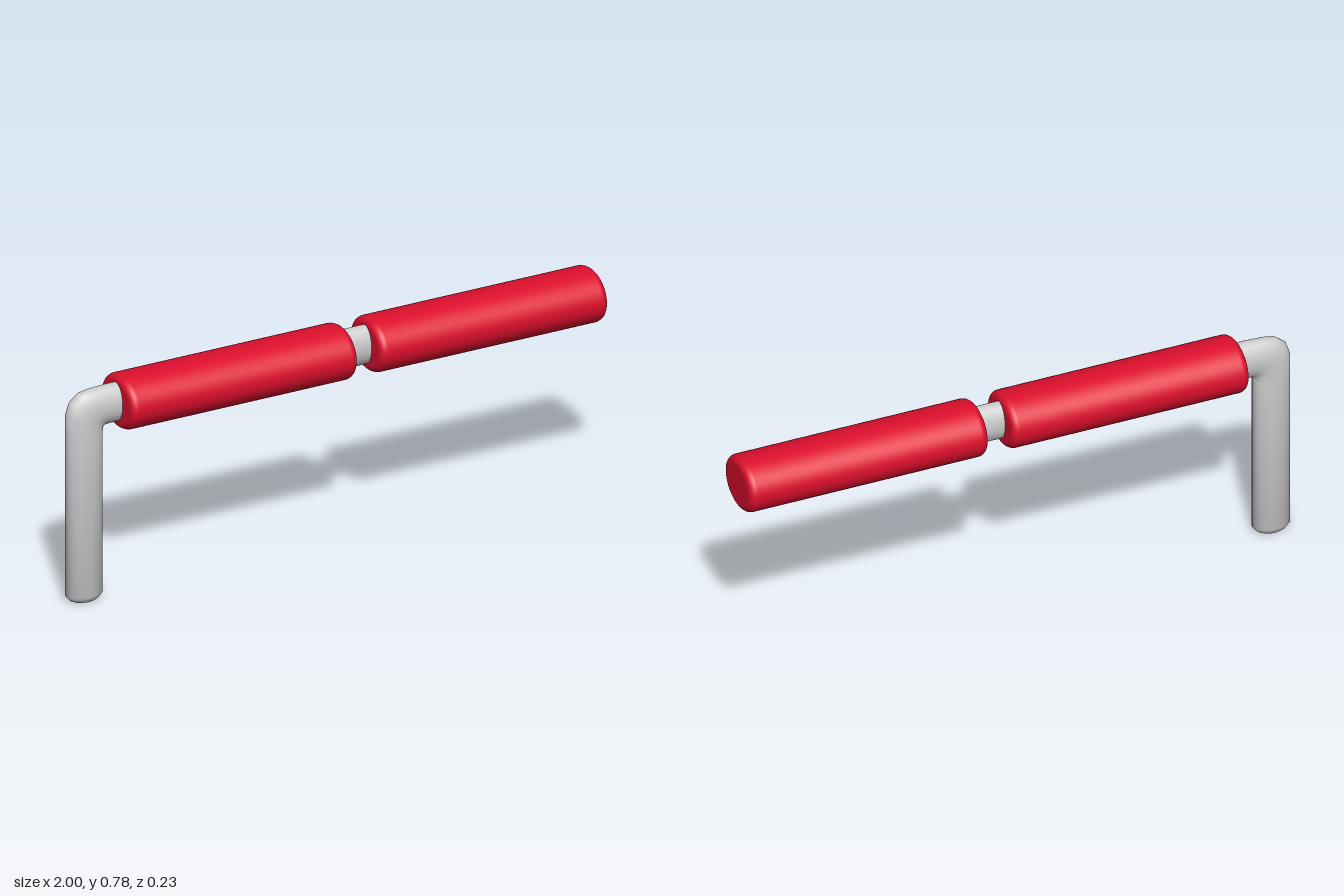
import * as THREE from 'three';
import { toCreasedNormals } from 'three/addons/utils/BufferGeometryUtils.js';

const SIDES = 24;
const AXIS_Y = 0.683;

// Closed skin through elliptical rings, each [outerX, outerY, innerX, innerY, halfDepth]
function sweepRings(rings) {
  const pos = [], index = [];
  for (const [ax, ay, bx, by, w] of rings) {
    for (let j = 0; j < SIDES; j++) {
      const t = (j / SIDES) * Math.PI * 2, c = Math.cos(t) / 2;
      pos.push((ax + bx) / 2 + (ax - bx) * c, (ay + by) / 2 + (ay - by) * c, w * Math.sin(t));
    }
  }
  const last = (rings.length - 1) * SIDES;
  for (let i = 0; i < last; i += SIDES) {
    for (let j = 0; j < SIDES; j++) {
      const k = (j + 1) % SIDES;
      index.push(i + j, i + k, i + SIDES + j, i + k, i + SIDES + k, i + SIDES + j);
    }
  }
  for (let j = 1; j < SIDES - 1; j++) {
    index.push(0, j + 1, j, last, last + j, last + j + 1);
  }
  const geo = new THREE.BufferGeometry();
  geo.setAttribute('position', new THREE.Float32BufferAttribute(pos, 3));
  geo.setIndex(index);
  return toCreasedNormals(geo, 0.9);
}

// Oval padded roller with rounded rims, lying along x
function makeRoller(x0, x1) {
  const half = (x1 - x0) / 2, r = 0.113, f = 0.026;
  const profile = [new THREE.Vector2(0, -half)];
  for (const s of [-1, 1]) {
    for (let i = 0; i <= 6; i++) {
      const a = ((s < 0 ? i - 6 : i) / 6) * Math.PI / 2;
      profile.push(new THREE.Vector2(r - f + f * Math.cos(a), s * (half - f) + f * Math.sin(a)));
    }
  }
  profile.push(new THREE.Vector2(0, half));
  const geo = new THREE.LatheGeometry(profile, 48);
  geo.rotateZ(-Math.PI / 2);
  geo.scale(1, 0.094 / r, 1);
  geo.translate((x0 + x1) / 2, AXIS_Y, 0);
  return geo;
}

export function createModel() {
  const model = new THREE.Group();
  model.name = 'paddedBar';
  const grey = new THREE.MeshStandardMaterial({ color: 0xcccccc });
  const red = new THREE.MeshStandardMaterial({ color: 0xdc0f2d });

  // Bent rod: chamfered foot, upright, rounded elbow, horizontal arm
  const W = 0.044;
  const rod = new THREE.Mesh(sweepRings([
    [-0.975, 0, -0.89, 0, 0.03],
    [-0.985, 0.005, -0.88, 0.005, 0.036],
    [-1, 0.022, -0.865, 0.022, W],
    [-1, 0.6, -0.865, 0.6, W],
    [-1, 0.675, -0.864, 0.607, W],
    [-0.985, 0.718, -0.862, 0.612, W],
    [-0.95, 0.745, -0.858, 0.615, W],
    [-0.91, 0.752, -0.852, 0.616, W],
    [-0.84, 0.755, -0.84, 0.617, W],
    [0.95, 0.755, 0.95, 0.617, W],
  ]), grey);
  rod.name = 'bentRod';
  model.add(rod);

  // Two rollers on the arm
  for (const [name, x0, x1] of [['innerRoller', -0.81, 0.05], ['outerRoller', 0.135, 1]]) {
    const roller = new THREE.Mesh(makeRoller(x0, x1), red);
    roller.name = name;
    model.add(roller);
  }
  return model;
}
